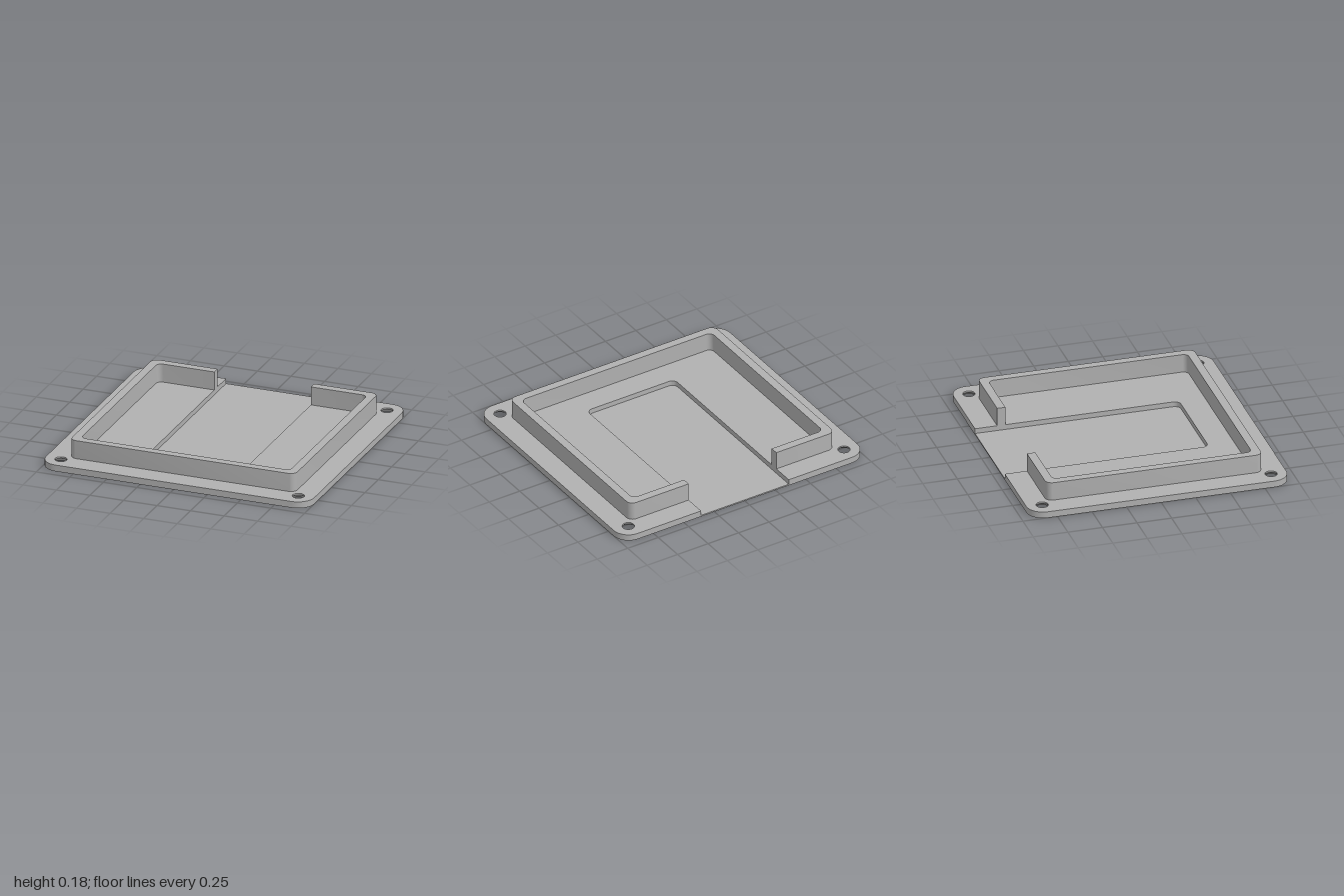
import * as THREE from 'three';
import { toCreasedNormals } from 'three/addons/utils/BufferGeometryUtils.js';

const FLOOR = 0.01, TOP = 0.047, RIM_TOP = 0.182;
const HOLE_X = 0.885, HOLE_Z = 0.827, HOLE_R = 0.043, SINK_R = 0.088;

// Outline points from corners [x, y, radius]; plan y is -z
function outline(corners, steps = 8) {
  const pts = [], n = corners.length;
  corners.forEach(([x, y, r], i) => {
    const p = new THREE.Vector2(x, y);
    if (!r) { pts.push(p); return; }
    const a = corners[(i + n - 1) % n], b = corners[(i + 1) % n];
    const u = p.clone().sub(new THREE.Vector2(a[0], a[1])).normalize();
    const v = new THREE.Vector2(b[0], b[1]).sub(p).normalize();
    const c = p.clone().addScaledVector(u, -r).addScaledVector(v, r);
    for (let k = 0; k <= steps; k++) {
      const t = (k / steps) * Math.PI / 2;
      pts.push(c.clone().addScaledVector(u, r * Math.sin(t)).addScaledVector(v, -r * Math.cos(t)));
    }
  });
  return pts;
}

// Vertical wall around a counter-clockwise outline
function wall(pts, y0, y1) {
  const pos = [];
  pts.forEach((a, i) => {
    const b = pts[(i + 1) % pts.length];
    pos.push(a.x, a.y, y0, b.x, b.y, y0, b.x, b.y, y1);
    pos.push(a.x, a.y, y0, b.x, b.y, y1, a.x, a.y, y1);
  });
  const g = new THREE.BufferGeometry();
  g.setAttribute('position', new THREE.Float32BufferAttribute(pos, 3));
  return toCreasedNormals(g.rotateX(-Math.PI / 2), 0.6);
}

// Flat face with the four corner holes cut out
function face(pts, holeRadius) {
  const s = new THREE.Shape(pts);
  if (holeRadius) for (const sx of [-1, 1]) for (const sy of [-1, 1]) {
    s.holes.push(new THREE.Path().absarc(sx * HOLE_X, sy * HOLE_Z, holeRadius, 0, Math.PI * 2, true));
  }
  return new THREE.ShapeGeometry(s, 16).rotateX(-Math.PI / 2);
}

export function createModel() {
  const model = new THREE.Group();
  model.name = 'coverPlate';
  const grey = new THREE.MeshStandardMaterial({ color: 0xb0b0b0 });
  grey.name = 'grey';
  const add = (name, geometry, parent = model) => {
    const m = new THREE.Mesh(geometry, grey);
    m.name = name;
    parent.add(m);
    return m;
  };

  const plate = outline([[-1, 0.94, 0.12], [-1, -0.94, 0.12], [1, -0.94, 0.12], [1, 0.94, 0.12]]);
  const slot = outline([[-0.36, 0.94, 0], [-0.36, -0.535, 0.045], [0.36, -0.535, 0.045], [0.36, 0.94, 0]]);
  const slottedPlate = outline([
    [-0.36, 0.94, 0], [-1, 0.94, 0.12], [-1, -0.94, 0.12], [1, -0.94, 0.12], [1, 0.94, 0.12],
    [0.36, 0.94, 0], [0.36, -0.535, 0.045], [-0.36, -0.535, 0.045],
  ]);

  // Base plate with a slot open at the back
  const base = new THREE.Group();
  base.name = 'basePlate';
  model.add(base);
  add('plateTop', face(slottedPlate, HOLE_R).translate(0, TOP, 0), base);
  add('plateUnderside', face(plate, SINK_R).rotateX(Math.PI), base);
  add('plateLowerEdge', wall(plate, 0, FLOOR), base);
  add('plateUpperEdgeAndSlotWalls', wall(slottedPlate, FLOOR, TOP), base);
  add('slotFloor', face(slot, 0).translate(0, FLOOR, 0), base);

  // Countersunk screw holes, faces turned inward
  const profile = [[HOLE_R, TOP], [HOLE_R, 0.036], [SINK_R, 0]].map(p => new THREE.Vector2(...p));
  const sink = toCreasedNormals(new THREE.LatheGeometry(profile, 32), 0.5);
  for (const sx of [-1, 1]) for (const sz of [-1, 1]) {
    add('screwHole', sink, base).position.set(sx * HOLE_X, 0, sz * HOLE_Z);
  }

  // Raised rim, interrupted by the slot at the back
  const rim = outline([
    [-0.36, 0.78, 0], [-0.84, 0.78, 0.05], [-0.84, -0.78, 0.05], [0.84, -0.78, 0.05], [0.84, 0.78, 0.05],
    [0.36, 0.78, 0], [0.36, 0.72, 0], [0.78, 0.72, 0.04], [0.78, -0.72, 0.04],
    [-0.78, -0.72, 0.04], [-0.78, 0.72, 0.04], [-0.36, 0.72, 0],
  ]);
  const rimGeo = new THREE.ExtrudeGeometry(new THREE.Shape(rim), { depth: RIM_TOP - TOP, bevelEnabled: false });
  add('rim', toCreasedNormals(rimGeo.rotateX(-Math.PI / 2).translate(0, TOP, 0), 0.6));

  return model;
}
